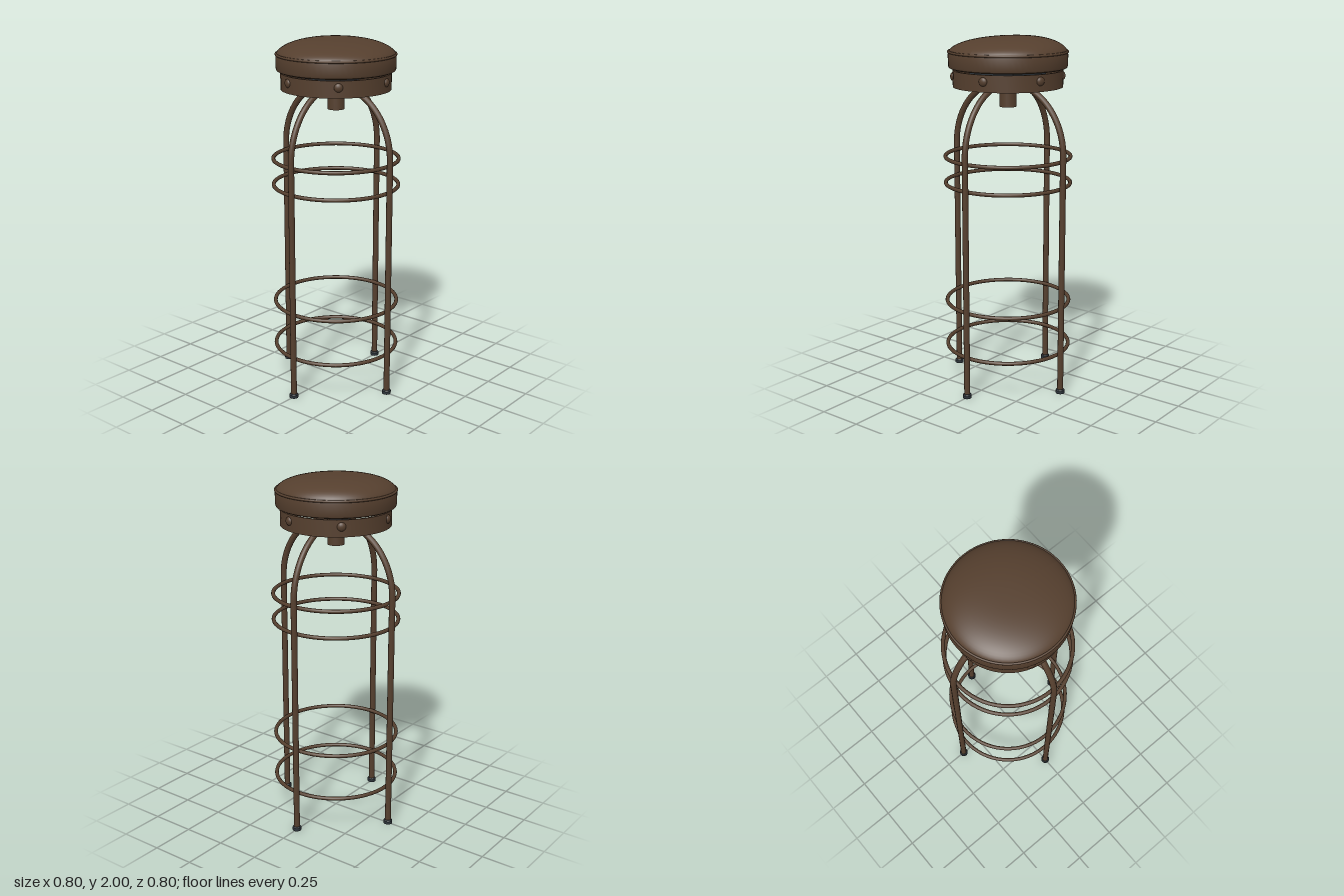
import * as THREE from 'three';
import { toCreasedNormals } from 'three/addons/utils/BufferGeometryUtils.js';

const brown = new THREE.MeshStandardMaterial({ color: 0x553f2e });
brown.name = 'brown';
const slate = new THREE.MeshStandardMaterial({ color: 0x2b3238 });
slate.name = 'dark slate';

export function createModel() {
  const stool = new THREE.Group();
  stool.name = 'barStool';

  function add(name, geometry, material, x = 0, y = 0, z = 0, parent = stool) {
    const mesh = new THREE.Mesh(geometry, material);
    mesh.name = name;
    mesh.position.set(x, y, z);
    parent.add(mesh);
    return mesh;
  }
  // Turned part with crisp edges; profile runs bottom, outside, top
  const turned = (points, segments = 48) => toCreasedNormals(
    new THREE.LatheGeometry(points.map(([r, y]) => new THREE.Vector2(r, y)), segments), 0.6);

  // Cushion side band
  add('cushionBand', turned([
    [0, 1.822], [0.315, 1.822], [0.326, 1.828], [0.33, 1.84],
    [0.33, 1.9], [0.326, 1.915], [0, 1.915],
  ], 64), brown);

  // Domed cushion top, a little fuller towards one side
  const dome = [];
  for (let i = 0; i <= 16; i++) {
    const r = 0.326 * Math.cos((i / 16) * Math.PI / 2);
    dome.push(new THREE.Vector2(i === 16 ? 0 : r, 1.914 + 0.082 * Math.pow(1 - Math.pow(r / 0.326, 2.6), 0.6)));
  }
  const top = new THREE.LatheGeometry(dome, 64);
  const pos = top.attributes.position;
  for (let i = 0; i < pos.count; i++) {
    const lift = (pos.getY(i) - 1.914) / 0.082;
    pos.setY(i, pos.getY(i) + 0.025 * lift * (pos.getX(i) - pos.getZ(i)));
  }
  top.computeVertexNormals();
  add('cushionTop', top, brown);

  // Piping around the seam
  const ring = (radius, tube) => new THREE.TorusGeometry(radius, tube, 10, 64).rotateX(Math.PI / 2);
  add('piping', ring(0.327, 0.007), brown, 0, 1.914);

  // Hollow skirt under the cushion
  add('skirt', turned([
    [0.293, 1.722], [0.305, 1.722], [0.305, 1.814], [0.293, 1.814], [0.293, 1.722],
  ]), brown);

  // Round-headed bolts around the skirt
  for (let i = 0; i < 6; i++) {
    const a = THREE.MathUtils.degToRad(12 + 60 * i);
    const bolt = add('bolt', new THREE.SphereGeometry(0.024, 16, 10), brown,
      0.304 * Math.sin(a), 1.778, 0.304 * Math.cos(a));
    bolt.rotation.y = a;
    bolt.scale.z = 0.6;
  }

  // Mounting plate and hollow centre post
  add('mountPlate', new THREE.BoxGeometry(0.3, 0.04, 0.3), slate, 0, 1.805);
  add('centrePost', turned([
    [0.036, 1.61], [0.048, 1.61], [0.048, 1.79], [0.036, 1.79], [0.036, 1.61],
  ], 24), brown);
  add('postCore', new THREE.CylinderGeometry(0.036, 0.036, 0.14, 24), brown, 0, 1.72);

  // Bent leg: straight up, then a quarter arc into the post
  const path = new THREE.CurvePath();
  const v = (x, y) => new THREE.Vector3(x, y, 0);
  path.add(new THREE.LineCurve3(v(0.376, 0.015), v(0.376, 1.37)));
  path.add(new THREE.CubicBezierCurve3(v(0.376, 1.37), v(0.376, 1.56), v(0.235, 1.735), v(0.04, 1.735)));
  const legGeometry = new THREE.TubeGeometry(path, 90, 0.017, 12);
  const footGeometry = turned([
    [0, 0], [0.025, 0], [0.025, 0.018], [0.02, 0.024], [0, 0.024],
  ], 20);
  for (let i = 0; i < 4; i++) {
    const leg = new THREE.Group();
    leg.name = 'leg';
    leg.rotation.y = i * Math.PI / 2;
    add('legTube', legGeometry, brown, 0, 0, 0, leg);
    add('footCap', footGeometry, slate, 0.376, 0, 0, leg);
    stool.add(leg);
  }

  // Hoops joining the legs
  for (const y of [0.225, 0.49, 1.183, 1.333]) add('hoop', ring(0.351, 0.011), brown, 0, y);

  return stool;
}
